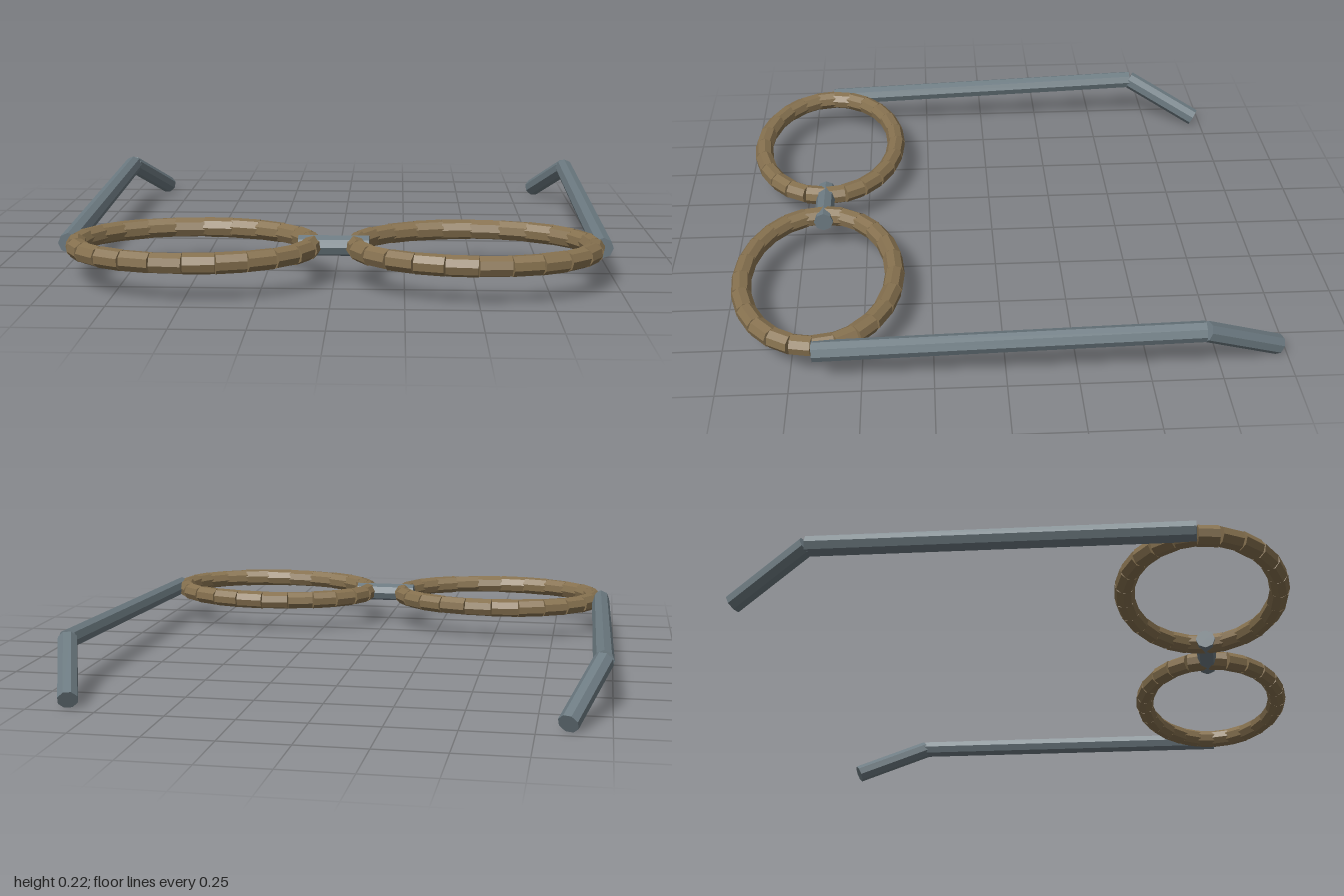
import * as THREE from 'three';

const RADIUS = 0.037;
const UP = new THREE.Vector3(0, 1, 0);

// Capped straight rod between two points
function rod(name, a, b, material) {
  const dir = b.clone().sub(a);
  const mesh = new THREE.Mesh(new THREE.CylinderGeometry(RADIUS, RADIUS, dir.length(), 8), material);
  mesh.name = name;
  mesh.position.copy(a).add(b).multiplyScalar(0.5);
  mesh.quaternion.setFromUnitVectors(UP, dir.normalize());
  return mesh;
}

export function createModel() {
  const model = new THREE.Group();
  model.name = 'glasses';
  const brown = new THREE.MeshStandardMaterial({ color: 0x86714f, flatShading: true });
  brown.name = 'rim brown';
  const grey = new THREE.MeshStandardMaterial({ color: 0x6c7a81, flatShading: true });
  grey.name = 'frame grey';

  const v = (x, y, z) => new THREE.Vector3(x, y, z);
  const rimY = 0.138, rimZ = 0.664, segments = 24;

  for (const side of [1, -1]) {
    const label = side > 0 ? 'left' : 'right';

    // Oval rim made of short straight rods
    const rim = new THREE.Group();
    rim.name = label + 'Rim';
    const point = (i) => {
      const t = (i / segments) * Math.PI * 2;
      return v(side * (0.495 + 0.42 * Math.cos(t)), rimY, rimZ + 0.28 * Math.sin(t));
    };
    for (let i = 0; i < segments; i++) rim.add(rod('rimSegment', point(i), point(i + 1), brown));
    model.add(rim);

    // Temple arm and the ear tip bent down and inward
    const hinge = v(side * 0.945, rimY, rimZ);
    const bend = v(side * 0.962, 0.181, -0.68);
    const tip = v(side * 0.855, 0.034, -0.968);
    model.add(rod(label + 'Temple', hinge, bend, grey));
    model.add(rod(label + 'EarTip', bend, tip, grey));
  }

  // Bridge between the rims
  model.add(rod('bridge', v(-0.125, rimY, rimZ), v(0.125, rimY, rimZ), grey));
  return model;
}
